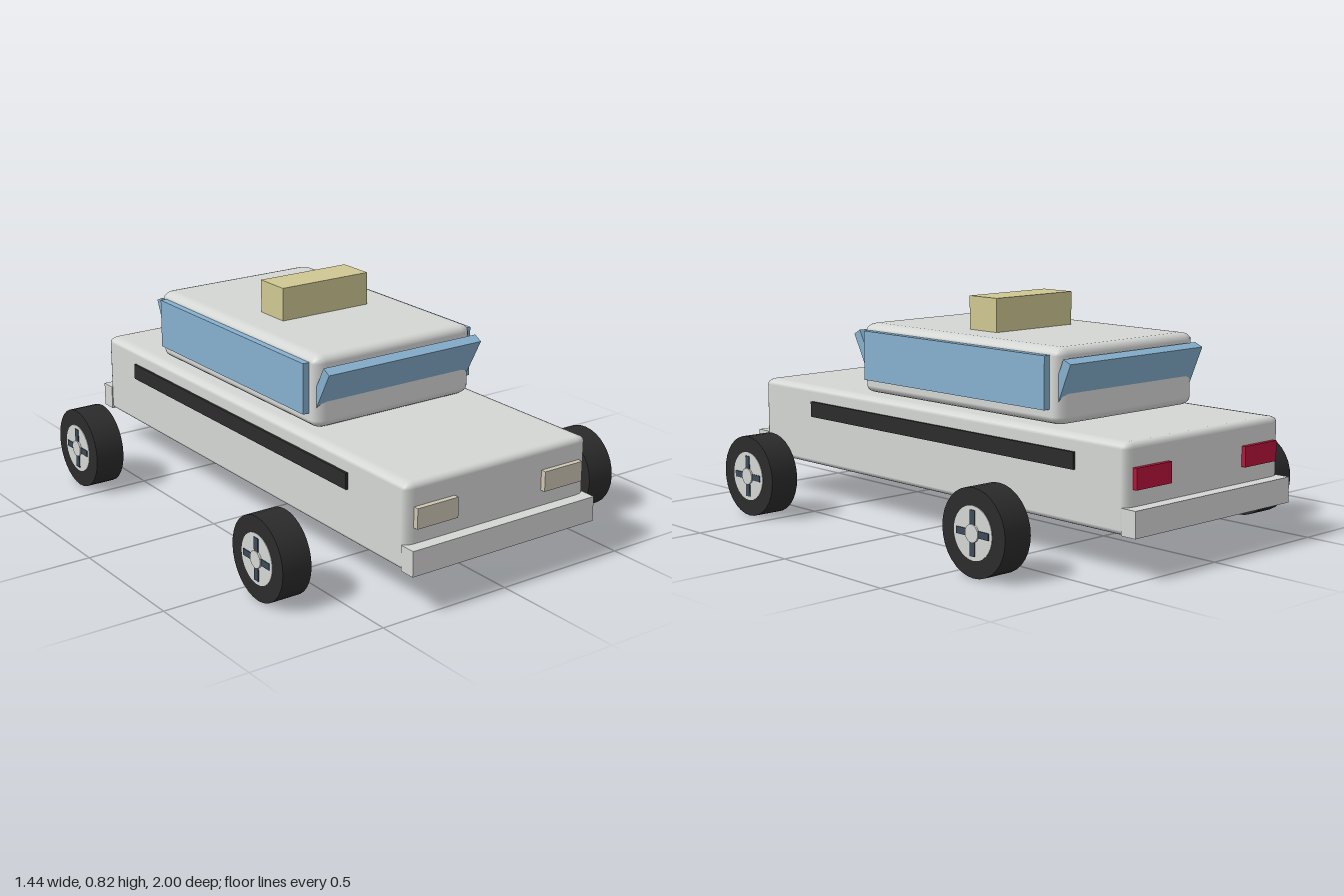
import * as THREE from 'three';
import { RoundedBoxGeometry } from 'three/addons/geometries/RoundedBoxGeometry.js';

const material = (name, color) => {
  const m = new THREE.MeshStandardMaterial({ color });
  m.name = name;
  return m;
};

export function createModel() {
  const paint = material('silver paint', 0xd4d6d4);
  const glass = material('blue glass', 0x86b0ce);
  const rubber = material('black rubber', 0x2b2b2b);
  const slate = material('dark slate', 0x3c4a58);
  const cream = material('sign cream', 0xcfc792);
  const lamp = material('headlight beige', 0xcec6b4);
  const red = material('tail light red', 0xb8143a);

  const car = new THREE.Group();
  car.name = 'car';

  const add = (name, geometry, mat, x, y, z, parent = car) => {
    const mesh = new THREE.Mesh(geometry, mat);
    mesh.name = name;
    mesh.position.set(x, y, z);
    parent.add(mesh);
    return mesh;
  };
  const box = (w, h, d) => new THREE.BoxGeometry(w, h, d);
  // Rounded box whose edge radius differs along each axis
  const softBox = (w, h, d, rx, ry, rz) =>
    new RoundedBoxGeometry(w / rx, h / ry, d / rz, 2, 1).scale(rx, ry, rz);

  // Body, cabin and roof sign
  add('body', softBox(0.77, 0.302, 1.91, 0.04, 0.022, 0.022), paint, 0, 0.287, 0);
  add('cabin', softBox(0.676, 0.257, 1.014, 0.045, 0.028, 0.03), paint, 0, 0.569, -0.104);
  add('roofSign', box(0.37, 0.125, 0.14), cream, 0, 0.755, -0.083);

  // Windscreens lean outward at the top
  const screen = (name, z, y, tilt) => {
    // (y, z) is the outer top edge, on the side the tilt leans towards
    const s = Math.sign(tilt);
    const g = box(0.654, 0.2, 0.036).translate(0, -0.1, -0.018 * s);
    add(name, g, glass, 0, y, z).rotation.x = tilt;
  };
  screen('windscreen', 0.466, 0.651, 0.5);
  screen('rearWindow', -0.655, 0.649, -0.4);

  // Bumpers
  add('frontBumper', box(0.772, 0.089, 0.06), paint, 0, 0.186, 0.97);
  add('rearBumper', box(0.772, 0.089, 0.06), paint, 0, 0.186, -0.97);

  // Mirrored side parts
  for (const [side, s] of [['left', 1], ['right', -1]]) {
    add(side + 'SideWindow', box(0.032, 0.18, 0.935), glass, s * 0.346, 0.583, -0.102);
    add(side + 'SideStripe', box(0.024, 0.058, 1.387), rubber, s * 0.382, 0.353, -0.041);
    add(side + 'Headlight', box(0.165, 0.071, 0.04), lamp, s * 0.267, 0.322, 0.954);
    add(side + 'TailLight', box(0.165, 0.071, 0.04), red, s * 0.267, 0.322, -0.951);
  }

  // Wheels: tyre, rim disc, four dark spokes and a hub
  const drum = (r, w, n) => new THREE.CylinderGeometry(r, r, w, n).rotateZ(Math.PI / 2);
  const tyre = drum(0.147, 0.11, 32);
  const rim = drum(0.089, 0.114, 32);
  const spoke = box(0.12, 0.05, 0.023).translate(0, 0.05, 0);
  const hub = drum(0.03, 0.127, 20);
  for (const x of [0.658, -0.658]) {
    for (const z of [0.61, -0.61]) {
      const wheel = new THREE.Group();
      wheel.name = (z > 0 ? 'front' : 'rear') + (x > 0 ? 'Left' : 'Right') + 'Wheel';
      wheel.position.set(x, 0.147, z);
      add('tyre', tyre, rubber, 0, 0, 0, wheel);
      add('rim', rim, paint, 0, 0, 0, wheel);
      for (let i = 0; i < 4; i++) {
        add('spoke', spoke, slate, 0, 0, 0, wheel).rotation.x = i * Math.PI / 2;
      }
      add('hub', hub, paint, 0, 0, 0, wheel);
      car.add(wheel);
    }
  }
  return car;
}
